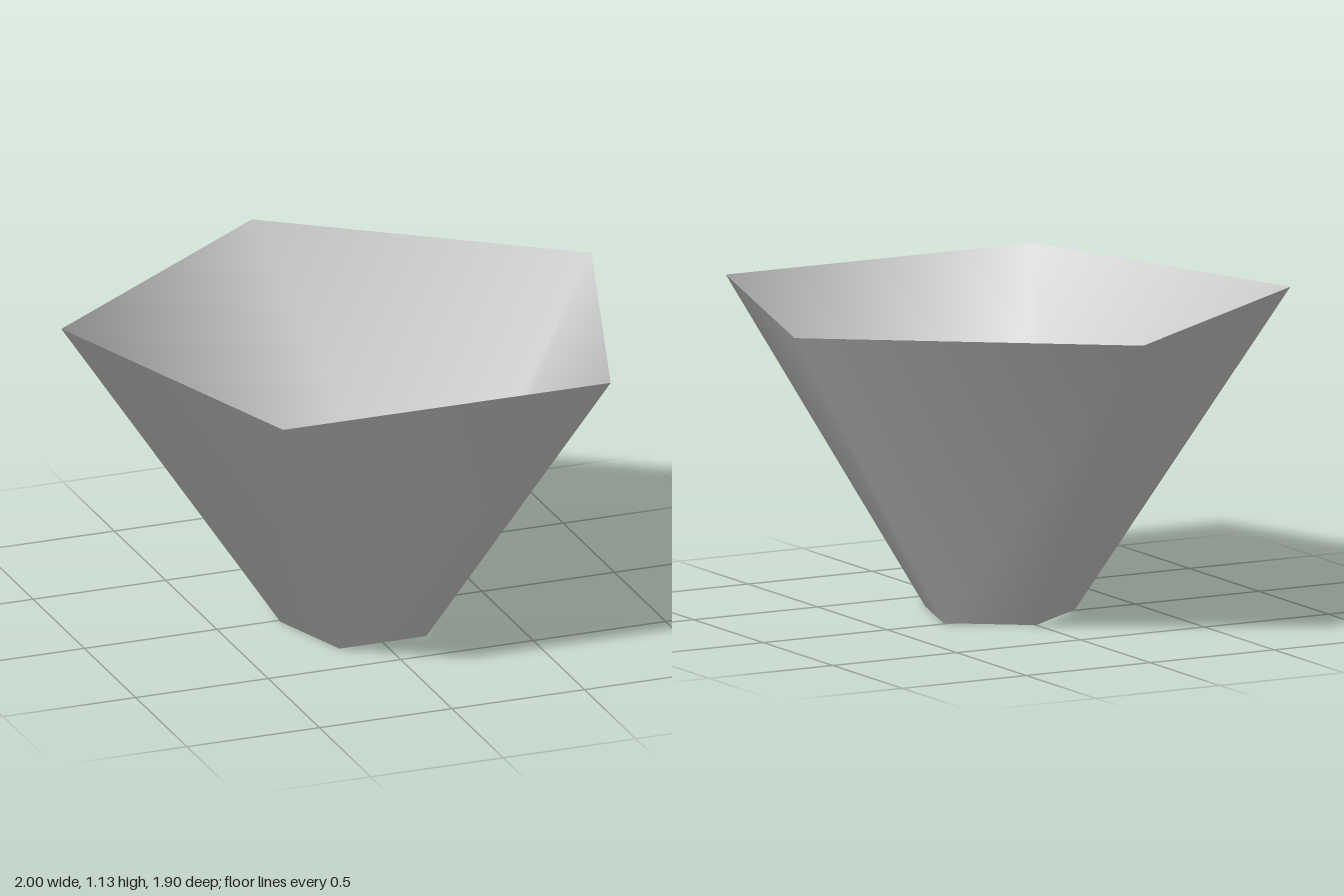
import * as THREE from 'three';

export function createModel() {
  const group = new THREE.Group();
  group.name = 'pentagonalFunnel';

  const lightGrey = new THREE.MeshStandardMaterial({ color: 0xcccccc, side: THREE.DoubleSide });
  lightGrey.name = 'light grey';

  // Open five-sided shell, one corner pointing to the back, smooth normals
  const height = 1.127;
  const topRadius = 1 / Math.sin(Math.PI * 0.4);
  const bottomRadius = 0.279;
  const geometry = new THREE.CylinderGeometry(topRadius, bottomRadius, height, 5, 1, true, Math.PI);
  // Centre the pentagon's depth and stand it on the ground
  geometry.translate(0, height / 2, 0.1);

  const shell = new THREE.Mesh(geometry, lightGrey);
  shell.name = 'funnelShell';
  group.add(shell);
  return group;
}
